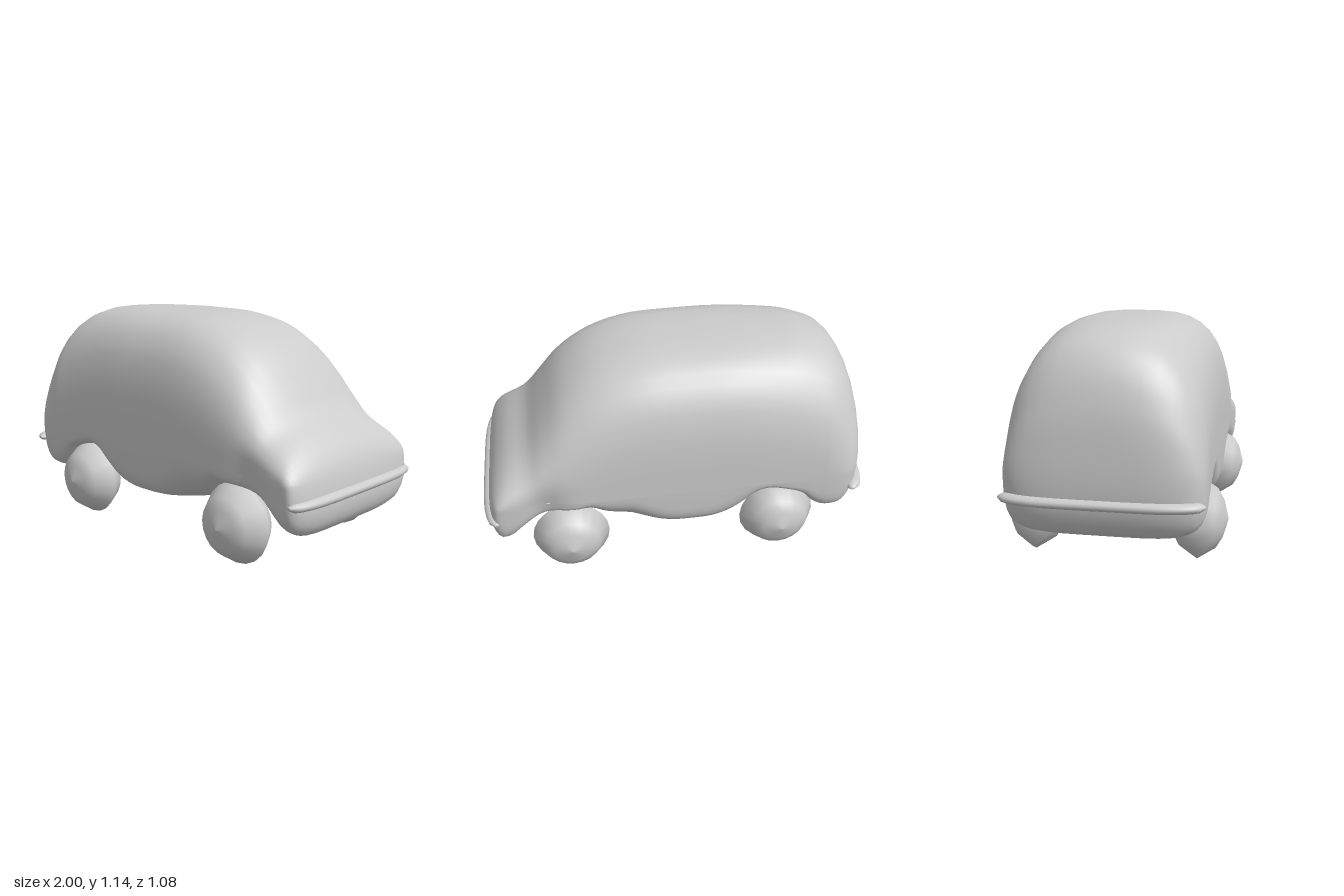
import * as THREE from 'three';
import { mergeVertices } from 'three/addons/utils/BufferGeometryUtils.js';

const material = new THREE.MeshStandardMaterial({ color: 0xcccccc });
const { smoothstep, lerp } = THREE.MathUtils;

// Side outline of the van: up the rear, over the roof, down the nose, back along the arches.
const OUTLINE = [
  [-0.9, 0.21], [-0.95, 0.28], [-0.975, 0.4], [-0.97, 0.65], [-0.95, 0.8], [-0.9, 0.95],
  [-0.82, 1.05], [-0.68, 1.11], [-0.5, 1.13], [-0.1, 1.14], [0.2, 1.125], [0.4, 1.07],
  [0.55, 0.97], [0.67, 0.82], [0.75, 0.71], [0.87, 0.615], [0.94, 0.52], [0.97, 0.4],
  [0.97, 0.28], [0.93, 0.205], [0.87, 0.21], [0.81, 0.265], [0.72, 0.33], [0.57, 0.375],
  [0.46, 0.33], [0.38, 0.25], [0.28, 0.21], [0, 0.195], [-0.25, 0.205], [-0.34, 0.24],
  [-0.42, 0.33], [-0.53, 0.375], [-0.64, 0.33], [-0.71, 0.24], [-0.77, 0.2], [-0.85, 0.195],
];

// Superellipse fall-off from 1 at the centre line to 0 at the side.
const round = (t, p) => Math.pow(Math.max(0, 1 - Math.pow(Math.abs(t), p)), 1 / p);

function bodyGeometry() {
  const curve = new THREE.CatmullRomCurve3(
    OUTLINE.map(([x, y]) => new THREE.Vector3(x, y, 0)), true);
  const n = 150;
  const ring = curve.getSpacedPoints(n).slice(0, n);
  const half = [0.2, 0.4, 0.55, 0.68, 0.78, 0.86, 0.91, 0.95, 0.975, 0.99, 0.998, 1];
  const stations = [...half.map(t => -t).reverse(), 0, ...half];
  const W = 0.467, midY = 0.46;
  const pos = [], index = [];

  for (const t of stations) {
    for (const p of ring) {
      const ax = Math.abs(p.x);
      // Roof gets rounder toward the tail and nose
      const roof = round(t, lerp(3.4, 2.4, smoothstep(Math.abs(p.x + 0.05), 0.15, 0.85)));
      // Belly is square amidships and sweeps up toward the wheels
      const sweep = smoothstep(Math.abs(p.x + 0.07), 0.05, 0.35) * (1 - smoothstep(ax, 0.45, 0.6));
      const sill = round(t, lerp(5, 2.3, sweep));
      const y = midY + (p.y - midY) * (p.y > midY ? roof : sill);
      // End corners, softer higher up
      const end = round(t, lerp(4, 2.4, smoothstep(p.y, 0.5, 1)));
      const over = Math.max(0, ax - (p.x < 0 ? 0.75 : 0.88));
      const x = p.x - Math.sign(p.x) * over * (1 - end);
      // Hollow cheek between the cabin and the nose
      const pinch = 0.09 * Math.exp(-(((x - 0.69) / 0.1) ** 2)) * (1 - smoothstep(y, 0.38, 0.65));
      pos.push(x, y, W * t * (1 - pinch));
    }
  }
  for (let j = 0; j < stations.length - 1; j++) {
    for (let i = 0; i < n; i++) {
      const k = (i + 1) % n;
      const a = j * n + i, b = j * n + k, c = a + n, d = b + n;
      index.push(a, c, b, b, c, d);
    }
  }
  const raw = new THREE.BufferGeometry();
  raw.setAttribute('position', new THREE.Float32BufferAttribute(pos, 3));
  raw.setIndex(index);
  const geo = mergeVertices(raw, 1e-4);
  geo.computeVertexNormals();
  return geo;
}

// Flattened bar across the van, tapering and curling back at both ends.
function bumperGeometry(dir, centreX, depth, curl) {
  const geo = new THREE.CylinderGeometry(1, 1, 2, 16, 40).rotateX(Math.PI / 2);
  const p = geo.attributes.position;
  for (let i = 0; i < p.count; i++) {
    const t = p.getZ(i);
    const s = 0.25 + 0.75 * round(t, 4);
    const x = centreX + p.getX(i) * depth * s - curl * Math.abs(t) ** 5;
    p.setXYZ(i, dir * x, 0.37 + p.getY(i) * 0.027 * s, t * 0.468);
  }
  if (dir < 0) {
    // Mirrored bar: flip the corner order
    const ix = geo.index.array;
    for (let i = 0; i < ix.length; i += 3) [ix[i], ix[i + 1]] = [ix[i + 1], ix[i]];
  }
  geo.computeVertexNormals();
  return geo;
}

// Lens-shaped wheel with its axle along z
function wheelGeometry() {
  const profile = [[0, -0.143], [0.09, -0.118], [0.142, -0.087], [0.198, 0],
    [0.142, 0.087], [0.09, 0.118], [0, 0.143]].map(([r, y]) => new THREE.Vector2(r, y));
  return new THREE.LatheGeometry(profile, 20).rotateX(Math.PI / 2);
}

export function createModel() {
  const model = new THREE.Group();
  model.name = 'van';
  const add = (name, geometry, x = 0, y = 0, z = 0) => {
    const mesh = new THREE.Mesh(geometry, material);
    mesh.name = name;
    mesh.position.set(x, y, z);
    model.add(mesh);
  };

  add('body', bodyGeometry());
  add('noseBumper', bumperGeometry(1, 0.96, 0.04, 0.03));
  add('tailBumper', bumperGeometry(-1, 0.955, 0.045, 0.045));

  const wheel = wheelGeometry();
  for (const side of [1, -1]) {
    const label = side > 0 ? 'Near' : 'Far';
    add('noseWheel' + label, wheel, 0.565, 0.2, side * 0.397);
    add('tailWheel' + label, wheel, -0.525, 0.2, side * 0.397);
  }
  return model;
}
